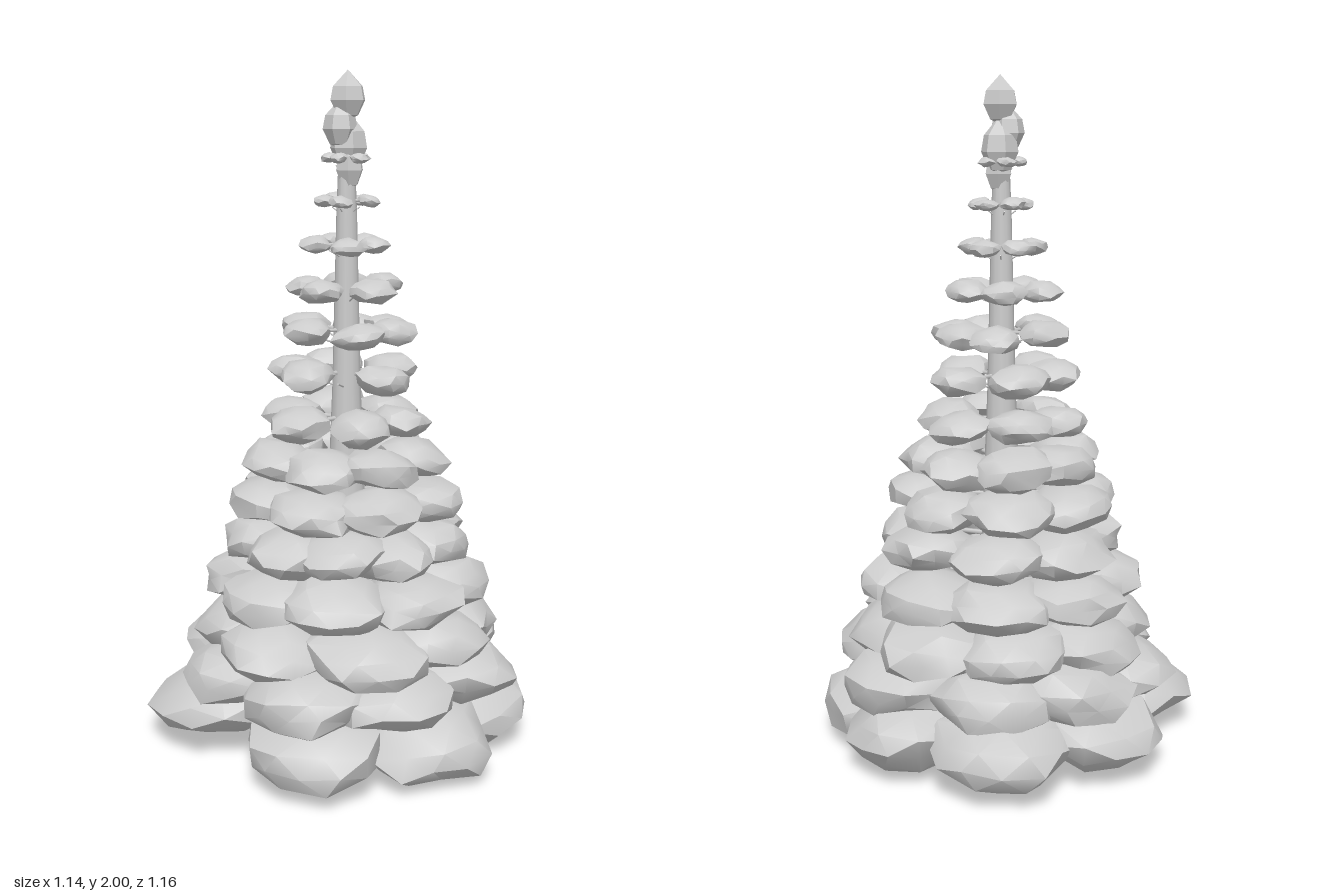
import * as THREE from 'three';
import { mergeVertices, toCreasedNormals } from 'three/addons/utils/BufferGeometryUtils.js';

const CX = -0.035, CZ = -0.03; // trunk axis
let seed = 23;
const rand = () => (seed = (seed * 16807) % 2147483647) / 2147483647;
const vary = (amount) => (rand() * 2 - 1) * amount;

// Faceted, irregular foliage pad of unit radius
function padGeometry(jitter) {
  let g = new THREE.IcosahedronGeometry(1, 1);
  g.deleteAttribute('normal');
  g.deleteAttribute('uv');
  g = mergeVertices(g, 1e-3);
  const p = g.attributes.position;
  for (let i = 0; i < p.count; i++) {
    const s = 1.03 + vary(jitter);
    p.setXYZ(i, p.getX(i) * s, p.getY(i) * s, p.getZ(i) * s);
  }
  return g;
}

// Thin tapering branch between two points
function branch(a, b, r, material) {
  const dir = b.clone().sub(a);
  const m = new THREE.Mesh(new THREE.CylinderGeometry(r * 0.6, r, dir.length(), 5), material);
  m.position.copy(a).addScaledVector(dir, 0.5);
  m.quaternion.setFromUnitVectors(new THREE.Vector3(0, 1, 0), dir.normalize());
  m.name = 'branch';
  return m;
}

// Solid of revolution with sharp edges where the profile turns
function lathe(profile, sides, crease) {
  const points = profile.map(([r, y]) => new THREE.Vector2(r, y));
  return toCreasedNormals(new THREE.LatheGeometry(points, sides), crease);
}

export function createModel() {
  const grey = new THREE.MeshStandardMaterial({ color: 0xcccccc });
  grey.name = 'pale grey';
  const tree = new THREE.Group();
  tree.name = 'conifer';

  // Trunk with a flared, flat-bottomed foot
  const profile = [[0, 0.03], [0.115, 0.03], [0.08, 0.25], [0.058, 0.7], [0.042, 1.1], [0.03, 1.6], [0.02, 1.85], [0, 1.87]];
  const trunk = new THREE.Mesh(lathe(profile, 12, 0.7), grey);
  trunk.position.set(CX, 0, CZ);
  trunk.name = 'trunk';
  tree.add(trunk);

  // Tiers: height, outer radius, pad half height, pad angles in degrees from +x towards +z
  const tiers = [
    [0.125, 0.575, 0.1, [-3, 47, 97, 165, 222, 268, 314]],
    [0.26, 0.525, 0.085, [18, 62, 102, 148, 195, 235, 272, 322]],
    [0.37, 0.47, 0.08, [-12, 30, 73, 122, 168, 215, 262, 308]],
    [0.51, 0.435, 0.07, [0, 45, 90, 132, 178, 225, 270, 315]],
    [0.64, 0.38, 0.065, [15, 53, 88, 122, 168, 222, 272, 322]],
    [0.765, 0.355, 0.06, [12, 60, 108, 160, 212, 262, 315]],
    [0.88, 0.31, 0.055, [4, 55, 103, 155, 205, 257, 308]],
    [1.0, 0.265, 0.046, [15, 70, 135, 192, 250, 310]],
    [1.135, 0.235, 0.042, [40, 132, 188, 250, 318]],
    [1.26, 0.208, 0.036, [5, 70, 140, 205, 275, 325]],
    [1.385, 0.18, 0.032, [42, 122, 190, 265, 325]],
    [1.51, 0.135, 0.024, [20, 80, 165, 235, 300]],
    [1.635, 0.1, 0.017, [10, 100, 170, 240, 310]],
    [1.755, 0.075, 0.014, [40, 110, 180, 250, 320]],
  ];
  tiers.forEach(([y, R, h, angles], t) => {
    const tier = new THREE.Group();
    tier.name = 'tier' + (t + 1);
    for (const degrees of angles) {
      const a = THREE.MathUtils.degToRad(degrees);
      const reach = R * (0.66 + vary(0.025));
      const at = new THREE.Vector3(CX + Math.cos(a) * reach, y + vary(h * 0.15), CZ + Math.sin(a) * reach);
      const g = padGeometry(0.13);
      g.scale(R * 0.33, h, R * (0.35 + vary(0.03)));
      g.rotateZ(-0.08 + vary(0.1));
      g.rotateX(vary(0.12));
      const pad = new THREE.Mesh(toCreasedNormals(g, 0.66), grey);
      pad.rotation.y = -a;
      pad.position.copy(at);
      pad.name = 'foliagePad';
      tier.add(pad);
      const root = new THREE.Vector3(CX, y - h * 0.2 + 0.03 * R, CZ);
      tier.add(branch(root, at, 0.004 + R * 0.014, grey));
    }
    // Short bare twigs close to the trunk
    for (let i = 0; i < 5; i++) {
      const a = i * 1.2566 + t;
      tier.add(branch(new THREE.Vector3(CX, y - 0.05, CZ),
        new THREE.Vector3(CX + Math.cos(a) * R * 0.42, y - 0.02, CZ + Math.sin(a) * R * 0.42), 0.002 + R * 0.008, grey));
    }
    tree.add(tier);
  });

  // Crystal-like buds stacked at the top: x offset, y, z offset, radius, half height
  const buds = [[0.003, 1.93, 0, 0.054, 0.07], [-0.018, 1.85, 0.008, 0.05, 0.07],
    [0.004, 1.8, -0.012, 0.055, 0.085], [0.008, 1.735, 0, 0.042, 0.07]];
  const shape = [[0, -1], [0.6, -0.8], [1, -0.2], [0.85, 0.35], [0, 1]];
  buds.forEach(([x, y, z, r, h], i) => {
    const bud = new THREE.Mesh(lathe(shape.map(([u, v]) => [u * r, v * h]), 6, 0.3), grey);
    bud.position.set(CX + x, y, CZ + z);
    bud.rotation.y = i * 0.7;
    bud.name = i ? 'topFoliage' : 'tip';
    tree.add(bud);
  });
  return tree;
}
